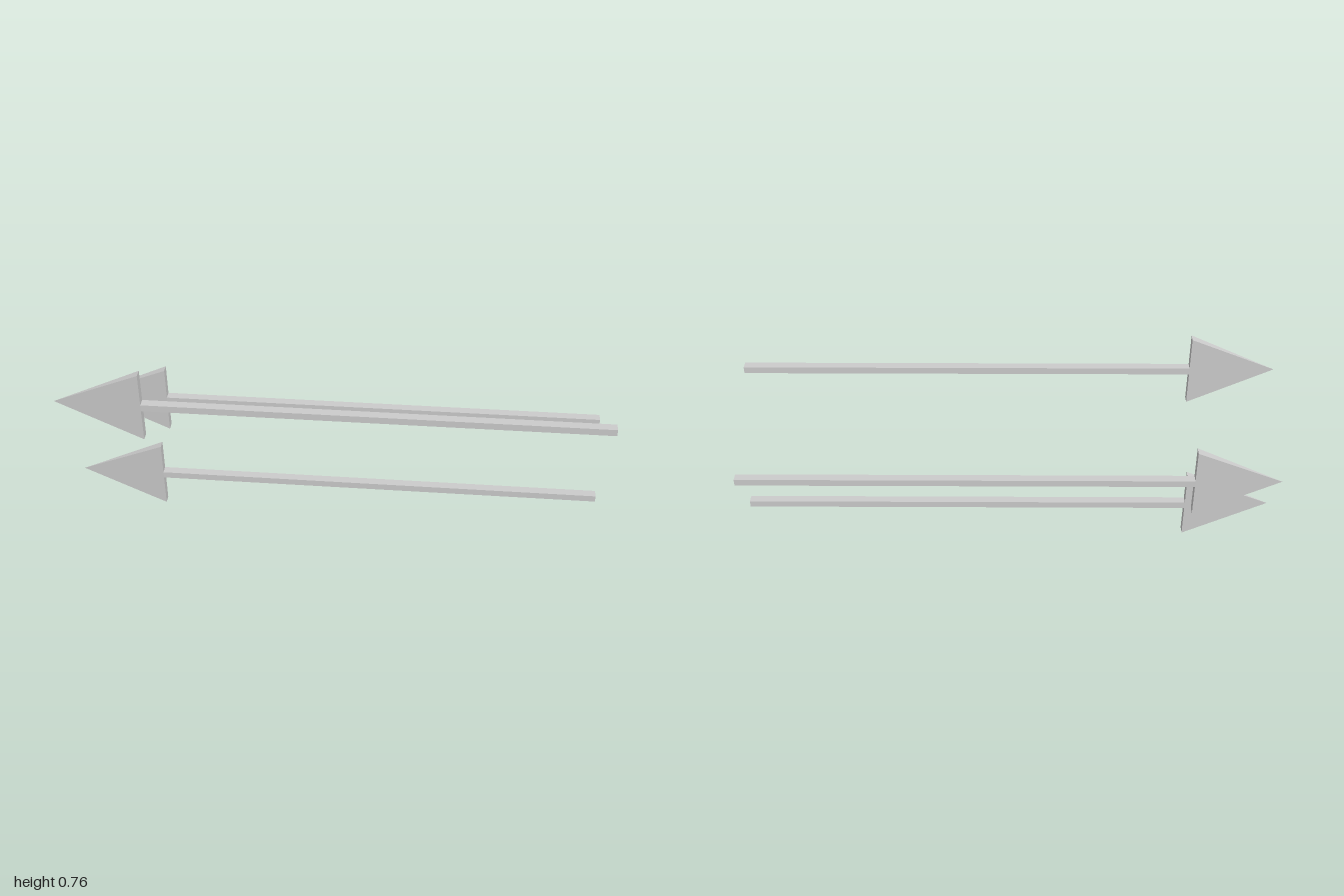
import * as THREE from 'three';

const DEPTH = 0.033;
const HEAD_X = -0.68; // where head and shaft meet

export function createModel() {
  const model = new THREE.Group();
  const material = new THREE.MeshStandardMaterial({ color: 0xcccccc, flatShading: true });

  // Square shaft running from the head to the tail end
  const shaftGeometry = new THREE.BoxGeometry(1 - HEAD_X, 0.026, DEPTH);
  shaftGeometry.translate((1 + HEAD_X) / 2, 0, 0);

  // Flattened four-sided pyramid pointing to -x
  const headLength = HEAD_X + 1;
  const headGeometry = new THREE.ConeGeometry(Math.SQRT1_2, headLength, 4);
  headGeometry.rotateY(Math.PI / 4);
  headGeometry.scale(0.278, 1, DEPTH);
  headGeometry.rotateZ(Math.PI / 2);
  headGeometry.translate(HEAD_X - headLength / 2, 0, 0);

  // Three identical arrows at staggered heights and depths: [y, z]
  const places = [[0.617, 0.191], [0.379, -0.191], [0.139, -0.022]];
  places.forEach(([y, z], i) => {
    const arrow = new THREE.Group();
    arrow.name = `arrow${i + 1}`;
    const shaft = new THREE.Mesh(shaftGeometry, material);
    shaft.name = 'shaft';
    const head = new THREE.Mesh(headGeometry, material);
    head.name = 'arrowHead';
    arrow.add(shaft, head);
    arrow.position.set(0, y, z);
    model.add(arrow);
  });

  return model;
}
